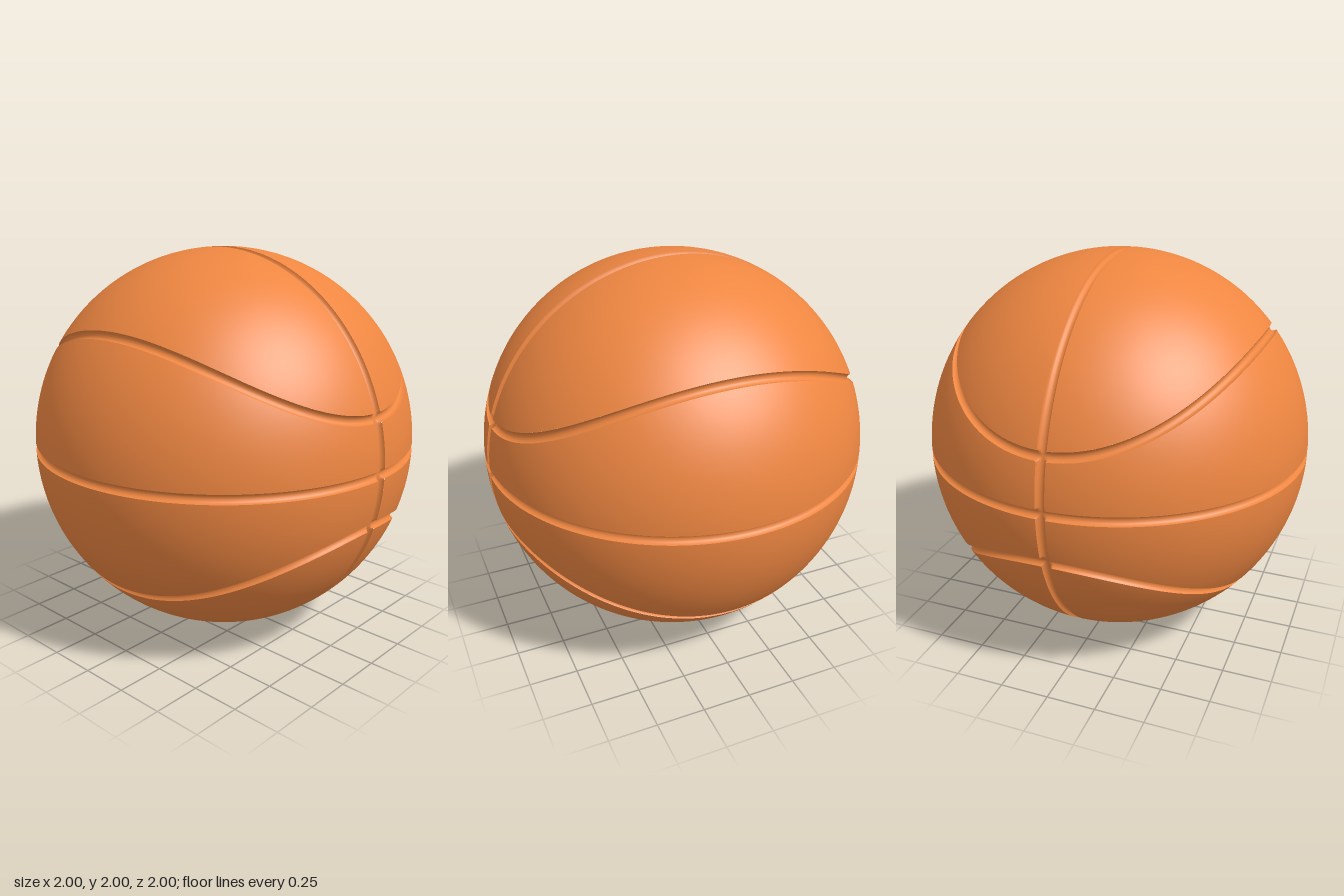
import * as THREE from 'three';

const W = 0.024;          // groove radius
const C = 1.27;           // height of the unit cylinder that cuts the curved seams
const material = new THREE.MeshStandardMaterial({ color: 0xee8641 });
const V = (x, y, z) => new THREE.Vector3(x, y, z);

// Curved seam: where the unit sphere meets a unit cylinder lying along z
function seamPoint(phi) {
  const c = Math.cos(phi) ** 2, k = C * C;
  const y = 2 * (k - c) / (2 * C + Math.sqrt(4 * C * C - 4 * c * (k - c)));
  const h = Math.sqrt(1 - y * y);
  return V(h * Math.sin(phi), y, h * Math.cos(phi));
}

// Direction along the ball's surface, square to the curved seam
function seamGradient(p) {
  const g = V(2 * p.x, 2 * (p.y - C), 0);
  return g.addScaledVector(p, -g.dot(p));
}

function seamOffset(phi, d) {
  const p = seamPoint(phi);
  return p.addScaledVector(seamGradient(p).normalize(), d).normalize();
}

// Distance from a surface point to each kind of seam
const distance = {
  meridian: p => Math.abs(p.x),
  equator: p => Math.abs(p.y),
  curve: p => {
    const q = V(p.x, Math.abs(p.y), p.z);
    const f = q.x ** 2 + (q.y - C) ** 2 - 1;
    return Math.abs(f) / Math.max(seamGradient(q).length(), 1e-6);
  },
};
const depth = d => Math.sqrt(Math.max(0, W * W - d * d));

// Grid surface from a rule, always wound to face away from the centre
function grid(nu, nv, rule, spherical) {
  const pts = [], index = [];
  for (let i = 0; i <= nu; i++)
    for (let j = 0; j <= nv; j++) pts.push(rule(i / nu, j / nv));
  const at = (i, j) => i * (nv + 1) + j;
  const m = at(nu >> 1, nv >> 1);
  const normal = pts[m + nv + 1].clone().sub(pts[m]).cross(pts[m + 1].clone().sub(pts[m]));
  const outward = normal.dot(pts[m]) > 0;
  for (let i = 0; i < nu; i++)
    for (let j = 0; j < nv; j++) {
      const a = at(i, j), b = at(i + 1, j), c = at(i + 1, j + 1), d = at(i, j + 1);
      index.push(...(outward ? [a, b, c, a, c, d] : [a, c, b, a, d, c]));
    }
  const geo = new THREE.BufferGeometry().setFromPoints(pts);
  geo.setIndex(index);
  if (spherical) geo.setAttribute('normal', geo.attributes.position.clone());
  else geo.computeVertexNormals();
  return geo;
}

// Keep panels clear of the meridian groove
function clearMeridian(p) {
  if (p.x < W) p.x = W;
  return p.normalize();
}

const PHI0 = Math.asin(W);
const azimuth = s => PHI0 + s * (Math.PI - 2 * PHI0);

// Panel between the equator and a curved seam
function sidePanel(s, v) {
  const phi = azimuth(s);
  const low = V(Math.sin(phi) * Math.cos(W), Math.sin(W), Math.cos(phi) * Math.cos(W));
  return clearMeridian(low.lerp(seamOffset(phi, W), v).normalize());
}

// Panel between a curved seam and the meridian over the top
const corner = clearMeridian(seamOffset(PHI0, -W));
const A0 = Math.atan2(corner.y, corner.z);
function capPanel(s, v) {
  const edge = clearMeridian(seamOffset(azimuth(s), -W));
  const a = A0 + s * (Math.PI - 2 * A0), h = Math.sqrt(1 - W * W);
  return clearMeridian(edge.lerp(V(W, h * Math.sin(a), h * Math.cos(a)), v).normalize());
}

// Round-bottomed channel along a seam, deepened where other seams cross it
function groove(kind, path) {
  return grid(800, 8, (u, v) => {
    const d = -W * Math.cos(v * Math.PI);
    const p = path(u * 2 * Math.PI, d);
    let deep = depth(d);
    for (const other in distance)
      if (other !== kind) deep = Math.max(deep, depth(distance[other](p)));
    return p.multiplyScalar(1 - deep);
  }, false);
}

export function createModel() {
  const ball = new THREE.Group();
  ball.name = 'ball';
  const add = (name, geo) => {
    const mesh = new THREE.Mesh(geo, material);
    mesh.name = name;
    ball.add(mesh);
  };

  // Eight panels, mirrored left/right and top/bottom
  for (const sx of [1, -1])
    for (const sy of [1, -1]) {
      const label = (sy > 0 ? 'upper' : 'lower') + (sx > 0 ? 'Left' : 'Right');
      const mirror = rule => (s, v) => rule(s, v).multiply(V(sx, sy, 1));
      add(label + 'SidePanel', grid(96, 20, mirror(sidePanel), true));
      add(label + 'CapPanel', grid(96, 20, mirror(capPanel), true));
    }

  // Seam grooves
  add('meridianGroove', groove('meridian', (t, d) =>
    V(Math.sin(d), Math.cos(d) * Math.sin(t), Math.cos(d) * Math.cos(t))));
  add('equatorGroove', groove('equator', (t, d) =>
    V(Math.cos(d) * Math.sin(t), Math.sin(d), Math.cos(d) * Math.cos(t))));
  for (const sy of [1, -1])
    add(sy > 0 ? 'upperCurvedGroove' : 'lowerCurvedGroove', groove('curve', (t, d) =>
      seamOffset(t, d).multiply(V(1, sy, 1))));

  ball.position.y = 1;
  const model = new THREE.Group();
  model.add(ball);
  return model;
}
